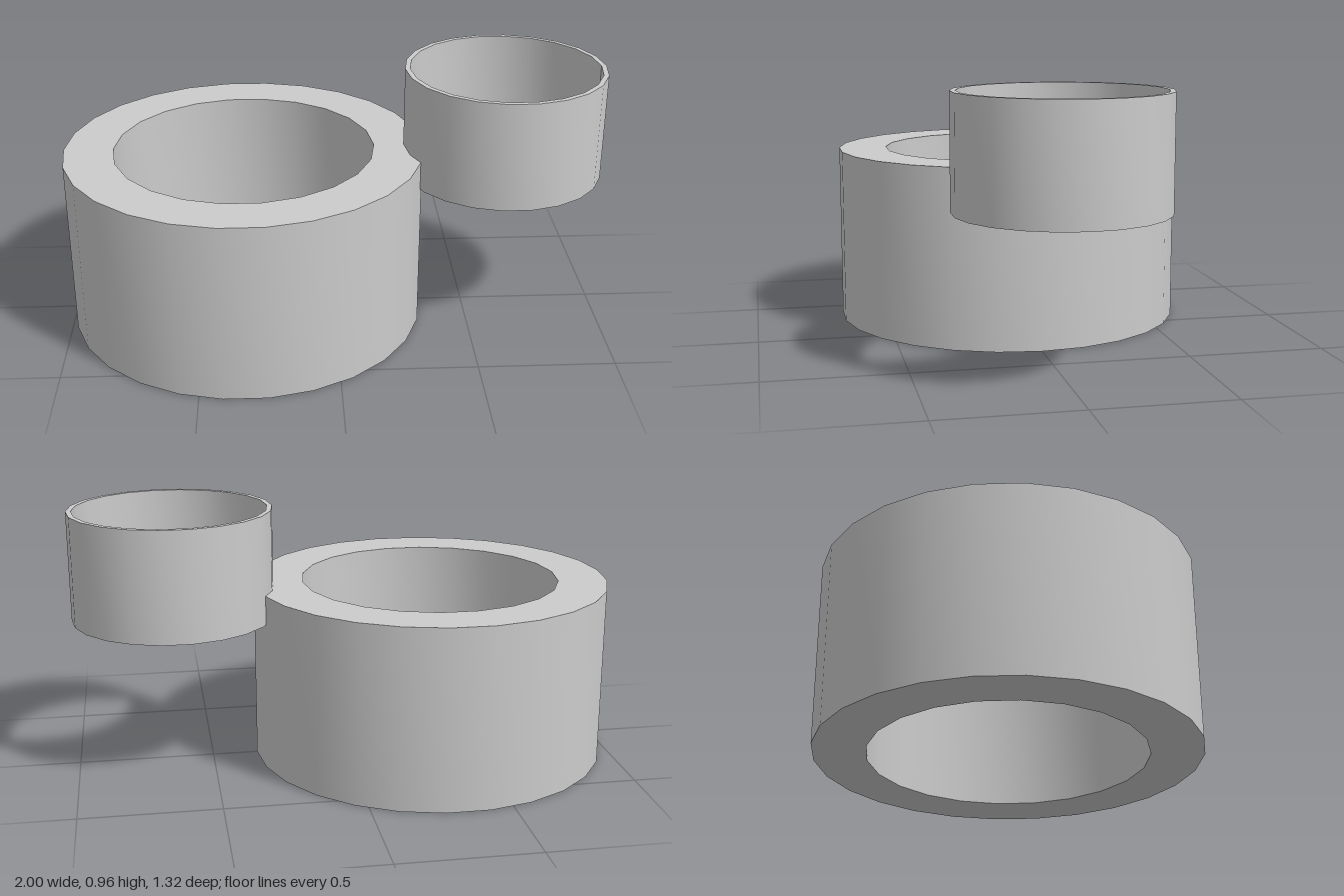
import * as THREE from 'three';
import { toCreasedNormals } from 'three/addons/utils/BufferGeometryUtils.js';

// Points of a regular polygon with a corner on the x axis
function polygon(radius, sides) {
  return Array.from({ length: sides }, (_, i) => {
    const a = (i / sides) * Math.PI * 2;
    return new THREE.Vector2(Math.cos(a) * radius, Math.sin(a) * radius);
  });
}

// Upright open tube standing on its base
function tube(name, outer, outerSides, inner, innerSides, height, x, y) {
  const shape = new THREE.Shape(polygon(outer, outerSides));
  shape.holes.push(new THREE.Path(polygon(inner, innerSides)));
  const extruded = new THREE.ExtrudeGeometry(shape, { depth: height, bevelEnabled: false });
  extruded.rotateX(-Math.PI / 2);
  const geometry = toCreasedNormals(extruded, Math.PI / 6);
  const mesh = new THREE.Mesh(geometry, new THREE.MeshStandardMaterial({ color: 0xcccccc }));
  mesh.name = name;
  mesh.position.set(x, y, 0);
  return mesh;
}

export function createModel() {
  const group = new THREE.Group();
  group.name = 'joinedRings';

  // Thick-walled ring on the ground
  group.add(tube('largeRing', 0.666, 26, 0.483, 22, 0.667, -0.334, 0));

  // Thin-walled ring overlapping the top edge of the large one
  group.add(tube('smallRing', 0.37, 22, 0.351, 22, 0.403, 0.63, 0.561));

  return group;
}
